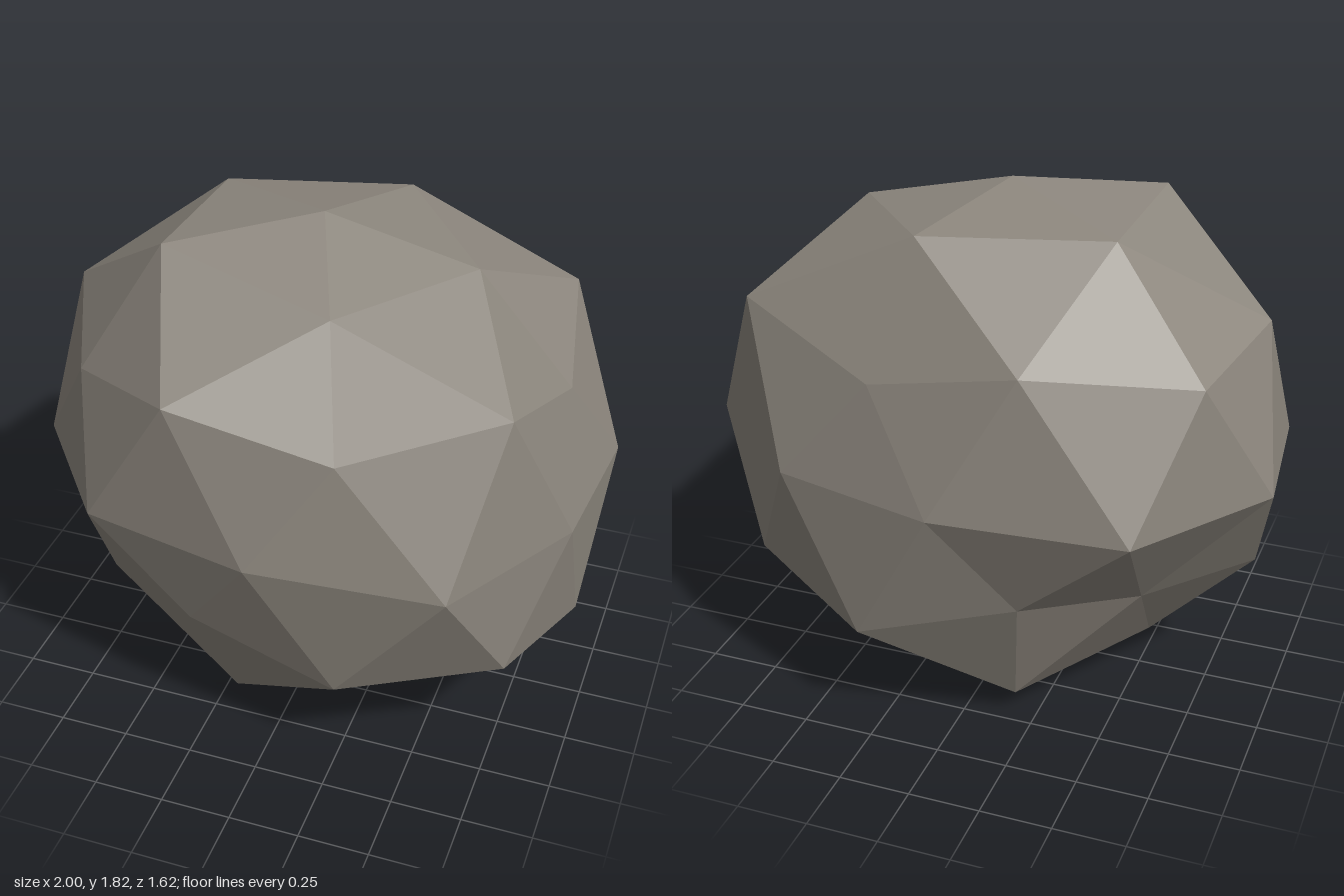
import * as THREE from 'three';

// Overall proportions of the boulder and the height of its middle
const SCALE = new THREE.Vector3(1, 0.9, 0.835);
const MIDDLE = 0.93;

// A ring of points on a squashed sphere: one radius factor per point
function ring(y, firstDegrees, radii) {
  const r = Math.sqrt(1 - y * y);
  return radii.map((k, i) => {
    const a = THREE.MathUtils.degToRad(firstDegrees + (i * 360) / radii.length);
    return new THREE.Vector3(r * Math.cos(a), y, r * Math.sin(a)).multiplyScalar(k).multiply(SCALE);
  });
}

export function createModel() {
  const stone = new THREE.MeshStandardMaterial({ color: 0x8c867d, flatShading: true });
  stone.name = 'warm grey stone';

  // Rings of a once-subdivided icosahedron, from top to bottom
  const top = ring(1, 0, [0.989])[0];
  const cap = ring(0.851, 0, [1.006, 0.95, 1.085, 1.057, 1.055]);
  const upper = ring(0.447, 0, [0.962, 0.975, 0.983, 1.115, 0.925]);
  const upperMid = ring(0.526, 36, [1.12, 1.085, 1.058, 1.04, 1.12]);
  const waist = ring(0, 18, [1, 1.123, 0.97, 1.02, 0.99, 1.051, 1.123, 0.97, 0.987, 1.051]);
  const lowerMid = ring(-0.526, 0, [1.118, 1.062, 0.962, 0.865, 1.097]);
  const lower = ring(-0.447, 36, [1.113, 0.935, 1.01, 0.92, 1.07]);
  const base = ring(-0.851, 36, [1.02, 1.1, 1.013, 1.1, 0.98]);
  const bottom = ring(-1, 0, [1.033])[0];

  // Adds one facet, turned so that it faces away from the middle
  const points = [];
  const facet = (a, b, c) => {
    const normal = b.clone().sub(a).cross(c.clone().sub(a));
    points.push(...(normal.dot(a) > 0 ? [a, b, c] : [a, c, b]));
  };
  // Four facets of a large triangle, from its corners and edge midpoints
  const split = (a, b, c, ab, bc, ca) => {
    facet(a, ab, ca);
    facet(ab, b, bc);
    facet(ca, bc, c);
    facet(ab, bc, ca);
  };

  for (let i = 0; i < 5; i++) {
    const j = (i + 1) % 5;
    const w0 = waist[2 * i], w1 = waist[2 * i + 1], w2 = waist[(2 * i + 2) % 10];
    split(top, upper[i], upper[j], cap[i], upperMid[i], cap[j]);
    split(upper[i], upper[j], lower[i], upperMid[i], w1, w0);
    split(lower[i], lower[j], upper[j], lowerMid[j], w2, w1);
    split(bottom, lower[i], lower[j], base[i], lowerMid[j], base[j]);
  }

  const geometry = new THREE.BufferGeometry().setFromPoints(points);
  geometry.computeVertexNormals();
  const boulder = new THREE.Mesh(geometry, stone);
  boulder.name = 'boulder';
  boulder.position.y = MIDDLE;

  const model = new THREE.Group();
  model.name = 'rock';
  model.add(boulder);
  return model;
}
